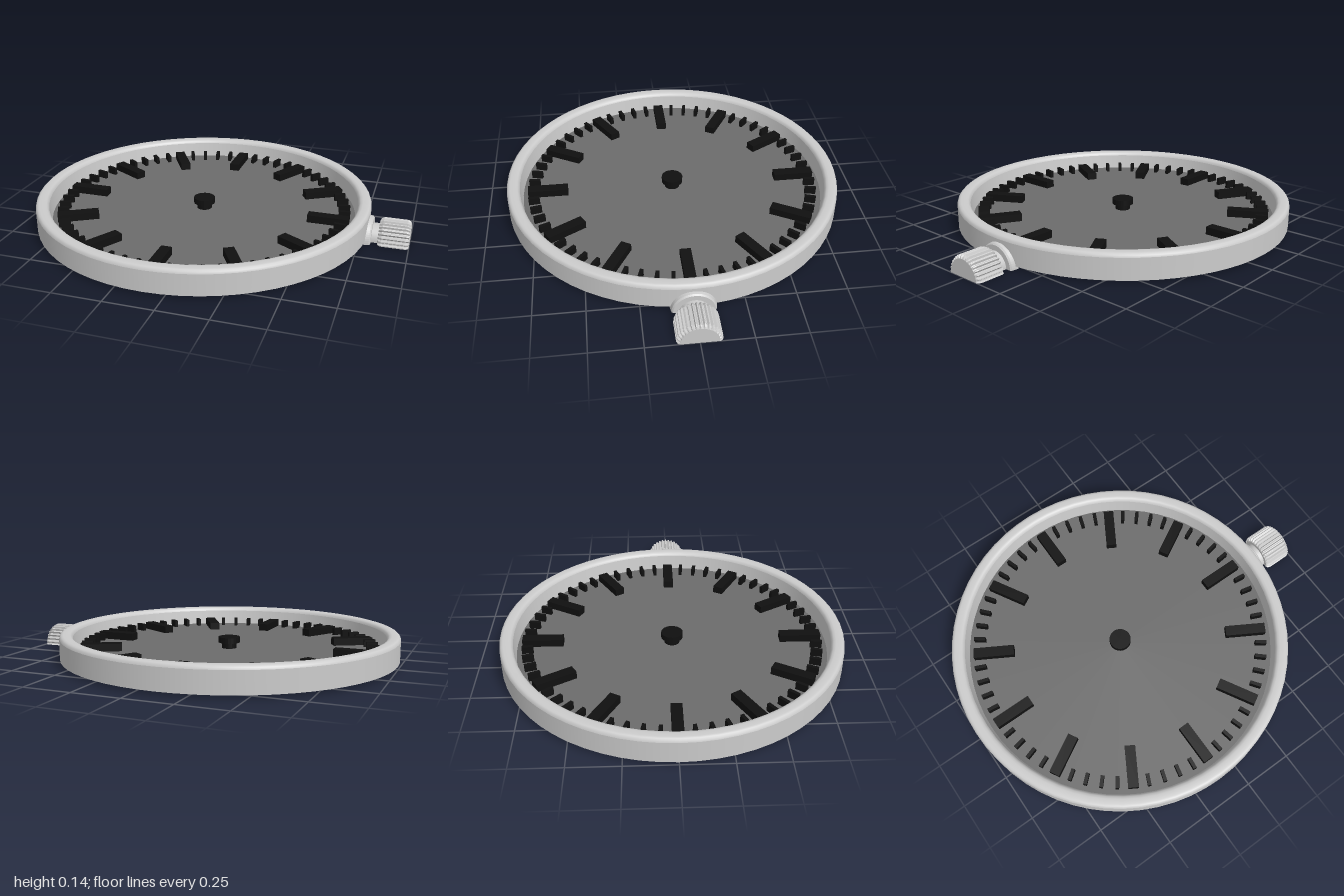
import * as THREE from 'three';

const CX = -0.105; // centre of the round case
const mat = (color, extra = {}) => new THREE.MeshStandardMaterial({ color, ...extra });
const pts = list => list.map(([x, y]) => new THREE.Vector2(x, y));

function add(parent, name, geometry, material) {
  const mesh = new THREE.Mesh(geometry, material);
  mesh.name = name;
  parent.add(mesh);
  return mesh;
}

// Half lathe lying along x, open underneath; profile is [radius, x] from the outer end inward
function halfLathe(profile, segments) {
  const g = new THREE.LatheGeometry(pts(profile.map(([r, x]) => [r, -x])), segments, 0, Math.PI);
  return g.rotateZ(Math.PI / 2);
}

export function createModel() {
  const model = new THREE.Group();
  model.name = 'watchFace';
  const grey = mat(0xcccccc, { side: THREE.DoubleSide });
  const faceted = mat(0xcccccc, { side: THREE.DoubleSide, flatShading: true });
  const dialGrey = mat(0x6c6c6c, { flatShading: true });
  const black = mat(0x101010, { flatShading: true });

  const face = new THREE.Group();
  face.name = 'face';
  face.position.x = CX;
  model.add(face);

  // Case ring: a shell with a rounded rim, open underneath
  const wall = new THREE.LatheGeometry(pts([[0.895, 0.015], [0.895, 0.125]]), 64);
  add(face, 'caseWall', wall, grey);
  const rim = new THREE.LatheGeometry(pts([
    [0.895, 0.125], [0.892, 0.135], [0.885, 0.142], [0.875, 0.145], [0.85, 0.145],
    [0.838, 0.142], [0.83, 0.135], [0.826, 0.125],
  ]), 64);
  add(face, 'caseRim', rim, grey);
  add(face, 'innerWall', new THREE.LatheGeometry(pts([[0.826, 0.125], [0.815, 0.04]]), 64), grey);

  // Dial plate
  add(face, 'dial', new THREE.CylinderGeometry(0.885, 0.885, 0.01, 20).translate(0, 0.04, 0), dialGrey);

  // Hour and minute markers
  for (let i = 0; i < 60; i++) {
    const hour = i % 5 === 0;
    const length = hour ? 0.215 : 0.06;
    const g = new THREE.BoxGeometry(length, 0.045, hour ? 0.055 : 0.018);
    g.translate(0.788 - length / 2, 0.0625, 0);
    add(face, hour ? 'hourMarker' : 'minuteMarker', g, black).rotation.y = (i * Math.PI) / 30;
  }

  // Centre pin with a wider cap
  add(face, 'pinStem', new THREE.CylinderGeometry(0.04, 0.04, 0.045, 24).translate(0, 0.0625, 0), black);
  add(face, 'pinCap', new THREE.CylinderGeometry(0.057, 0.057, 0.03, 24).translate(0, 0.09, 0), black);

  // Crown collar and stem
  const crown = new THREE.Group();
  crown.name = 'crown';
  model.add(crown);
  add(crown, 'crownCollar', halfLathe([
    [0.07, 0.81], [0.1, 0.81], [0.107, 0.803], [0.112, 0.77], [0.07, 0.77],
  ], 32), faceted);
  add(crown, 'crownStem', halfLathe([[0.073, 0.85], [0.073, 0.8]], 32), grey);

  // Fluted knob: every other pair of columns is pressed inward
  const profile = [
    [0, 1], [0.09, 1], [0.1, 0.996], [0.107, 0.982], [0.107, 0.862], [0.1, 0.848], [0.09, 0.843], [0.06, 0.843],
  ];
  const columns = 64;
  const knob = halfLathe(profile, columns);
  const p = knob.attributes.position;
  for (let i = 0; i < p.count; i++) {
    const column = Math.floor(i / profile.length);
    const row = i % profile.length;
    if (row > 1 && row < 6 && column % 4 > 1) {
      const s = 1 - 0.01 / profile[row][0];
      p.setY(i, p.getY(i) * s);
      p.setZ(i, p.getZ(i) * s);
    }
  }
  add(crown, 'crownKnob', knob, faceted);

  return model;
}
